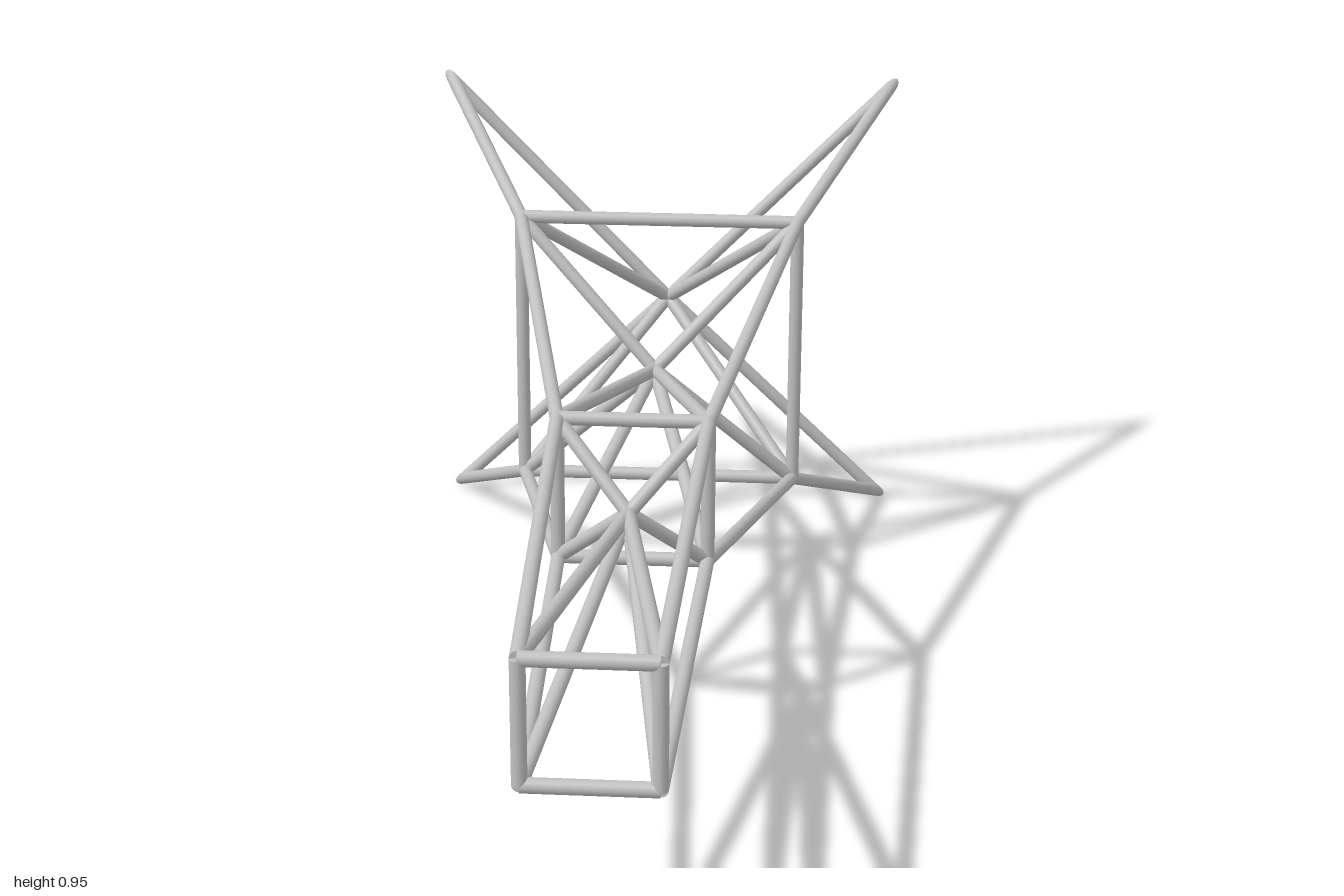
import * as THREE from 'three';

const RADIUS = 0.013;
const CENTRE_Y = 0.473;
const UP = new THREE.Vector3(0, 1, 0);

export function createModel() {
  const model = new THREE.Group();
  model.name = 'trussFrame';
  const steel = new THREE.MeshStandardMaterial({ color: 0xc0c0c0 });
  steel.name = 'silverGrey';

  const direction = (a, b) => new THREE.Vector3().subVectors(b, a).normalize();

  // Round bar from a to b; its end at b can be mitred against a bar from mitreFrom to b
  function strut(parent, name, a, b, mitreFrom) {
    const length = a.distanceTo(b);
    const dir = direction(a, b);
    const geometry = new THREE.CylinderGeometry(RADIUS, RADIUS, length, 16);
    const mesh = new THREE.Mesh(geometry, steel);
    mesh.name = name;
    mesh.position.addVectors(a, b).multiplyScalar(0.5);
    mesh.quaternion.setFromUnitVectors(UP, dir);
    if (mitreFrom) {
      // Slide the end ring along the bar onto the mitre plane
      const normal = dir.clone().sub(direction(mitreFrom, b))
        .applyQuaternion(mesh.quaternion.clone().invert());
      const pos = geometry.attributes.position;
      for (let i = 0; i < pos.count; i++) {
        if (pos.getY(i) < 0) continue;
        pos.setY(i, length / 2 - (pos.getX(i) * normal.x + pos.getZ(i) * normal.z) / normal.y);
      }
    }
    parent.add(mesh);
  }

  function part(name) {
    const group = new THREE.Group();
    group.name = name;
    model.add(group);
    return group;
  }

  // Four corners of a square cross-section, and points on the long axis
  const corners = (half, z) => [[1, 1], [-1, 1], [-1, -1], [1, -1]]
    .map(([x, y]) => new THREE.Vector3(x * half, CENTRE_Y + y * half, z));
  const hub = (z) => new THREE.Vector3(0, CENTRE_Y, z);

  const stations = [
    corners(0.11, 0.987),
    corners(0.137, 0.085),
    corners(0.277, -0.63),
    corners(0.453, -0.984), // free tips of the flared tail
  ];

  // Square frames
  ['frontFrame', 'middleFrame', 'rearFrame'].forEach((name, i) => {
    const frame = part(name);
    stations[i].forEach((p, k) => strut(frame, 'frameBar', p, stations[i][(k + 1) % 4]));
  });

  // Corner rails and inner braces of each bay, the braces meeting at a hub
  const hubs = [hub(0.19), hub(-0.515), hub(-0.943)];
  ['frontBay', 'middleBay', 'tailBay'].forEach((name, i) => {
    const bay = part(name);
    const isTail = i === 2;
    for (let k = 0; k < 4; k++) {
      const near = stations[i][k];
      const far = stations[i + 1][k];
      strut(bay, 'cornerRail', near, far, isTail && hubs[i]);
      strut(bay, 'frontBrace', near, hubs[i]);
      strut(bay, 'rearBrace', hubs[i], far, isTail && near);
    }
  });

  return model;
}
